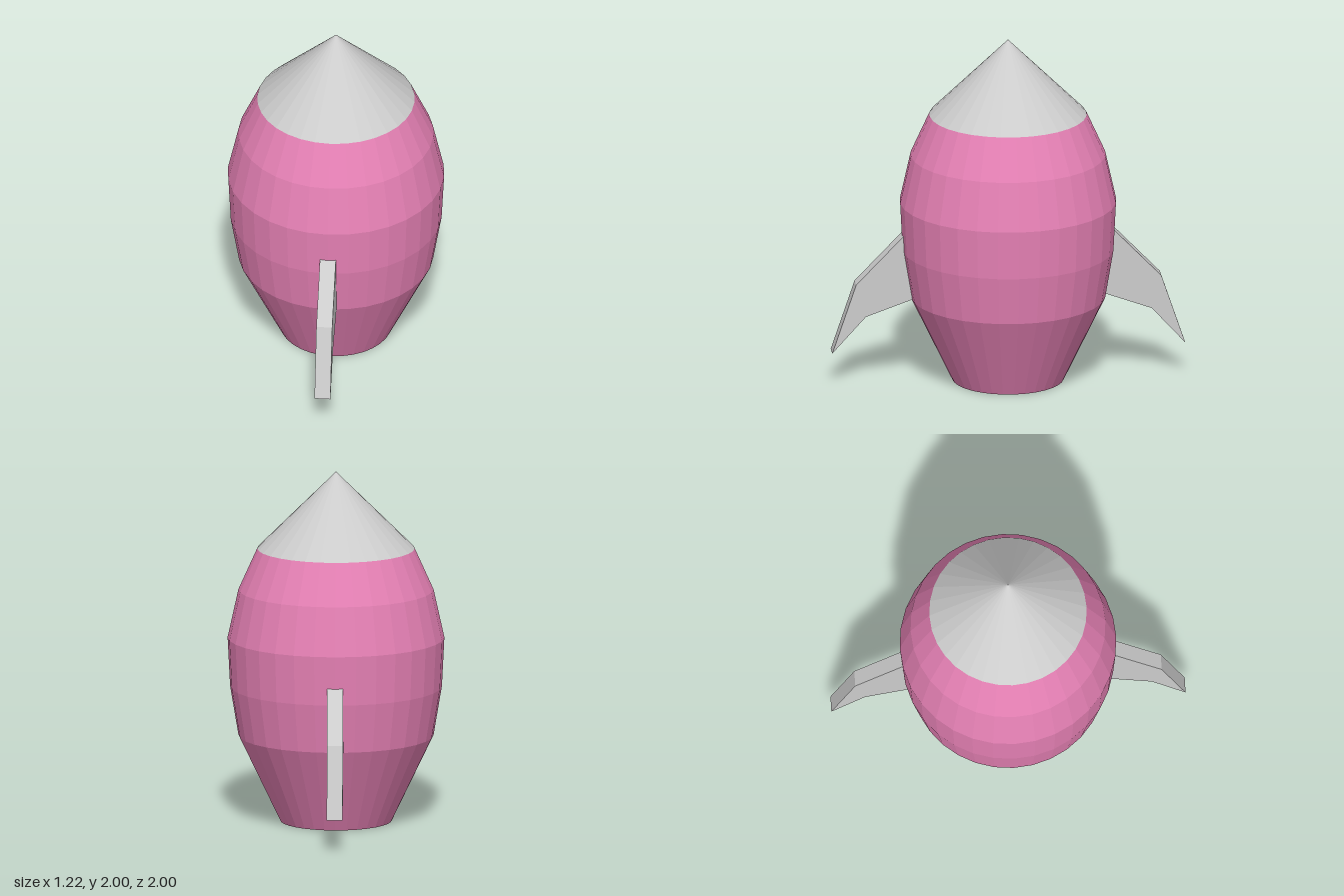
import * as THREE from 'three';

const SEGMENTS = 32;
const FIN_THICKNESS = 0.09;

const v2 = ([x, y]) => new THREE.Vector2(x, y);

function lathe(name, profile, material) {
  const mesh = new THREE.Mesh(new THREE.LatheGeometry(profile.map(v2), SEGMENTS), material);
  mesh.name = name;
  return mesh;
}

export function createModel() {
  const rocket = new THREE.Group();
  rocket.name = 'rocket';

  const pink = new THREE.MeshStandardMaterial({ color: 0xe681b5, flatShading: true });
  const grey = new THREE.MeshStandardMaterial({ color: 0xcccccc, flatShading: true });

  // Faceted barrel hull with a closed flat base
  rocket.add(lathe('hull', [
    [0, 0], [0.315, 0], [0.55, 0.49], [0.597, 0.77],
    [0.611, 1.05], [0.55, 1.325], [0.444, 1.56],
  ], pink));

  // Pointed nose cone
  rocket.add(lathe('noseCone', [[0.444, 1.56], [0, 2]], grey));

  // Swept fin: outline in radius and height, rooted just inside the hull
  const outline = [
    [0.59, 0.87], [0.6, 0.865], [0.865, 0.59], [1, 0.19], [0.81, 0.4], [0.54, 0.497],
  ];
  const finGeometry = new THREE.ExtrudeGeometry(new THREE.Shape(outline.map(v2)), {
    depth: FIN_THICKNESS, bevelEnabled: false,
  });
  finGeometry.translate(0, 0, -FIN_THICKNESS / 2);

  // One fin at the front, one at the back
  for (const [name, angle] of [['frontFin', -Math.PI / 2], ['backFin', Math.PI / 2]]) {
    const fin = new THREE.Mesh(finGeometry, grey);
    fin.name = name;
    fin.rotation.y = angle;
    rocket.add(fin);
  }

  return rocket;
}
